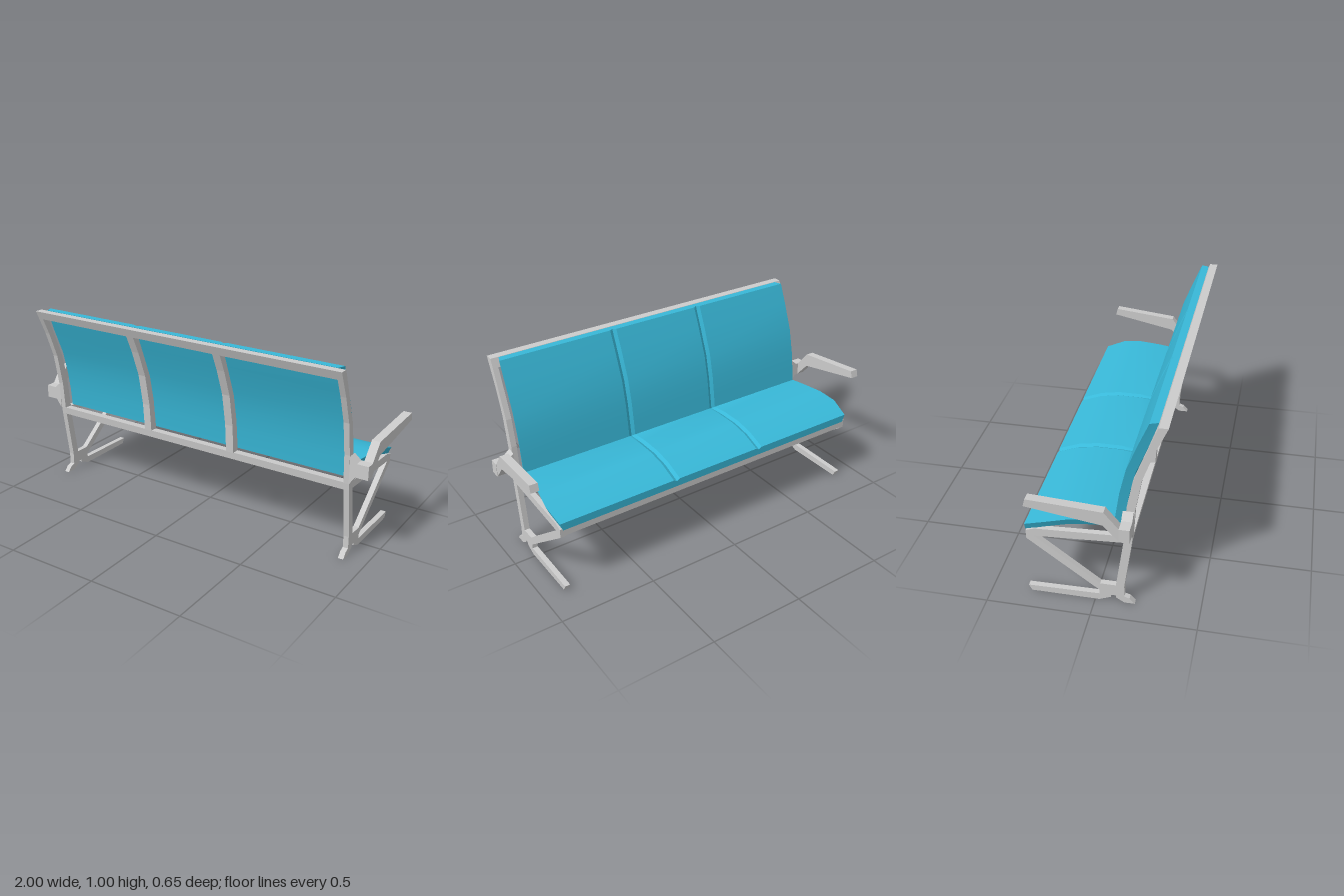
import * as THREE from 'three';
import { toCreasedNormals } from 'three/addons/utils/BufferGeometryUtils.js';

const grey = new THREE.MeshStandardMaterial({ color: 0xcccccc, flatShading: true });
const blue = new THREE.MeshStandardMaterial({ color: 0x38b8d8 });

const shapeOf = (pts) => new THREE.Shape(pts.map(([a, b]) => new THREE.Vector2(a, b)));

// Extrudes a (z, y) side profile along x from x0 to x1
function sideExtrude(pts, x0, x1, hole) {
  const shape = shapeOf(pts);
  if (hole) shape.holes.push(shapeOf(hole));
  const geo = new THREE.ExtrudeGeometry(shape, { depth: x1 - x0, bevelEnabled: false });
  geo.rotateY(-Math.PI / 2);
  geo.translate(x1, 0, 0);
  return geo;
}

// Upholstered shell: rows run down the back and along the seat,
// each row is [front z, front y, rear z, rear y, half width]
function shellGeometry() {
  const rows = [
    [0.245, 0.995, 0.284, 0.995, 0.865],
    [0.2, 0.89, 0.242, 0.875, 0.865],
    [0.145, 0.75, 0.186, 0.735, 0.865],
    [0.115, 0.62, 0.157, 0.61, 0.865],
    [0.1, 0.52, 0.142, 0.51, 0.865],
    [0.09, 0.447, 0.134, 0.412, 0.865],
    [0, 0.457, 0, 0.42, 0.87],
    [-0.12, 0.457, -0.12, 0.42, 0.89],
    [-0.22, 0.44, -0.22, 0.403, 0.905],
    [-0.325, 0.4, -0.325, 0.36, 0.89],
  ];
  // shallow V grooves separate the three places
  const seams = [-0.28, 0.24];
  const inner = seams.flatMap((s) => [s - 0.018, s, s + 0.018]);
  const n = inner.length + 2;
  const pos = [];
  const index = [];
  for (const [fz, fy, rz, ry, w] of rows) {
    const len = Math.hypot(rz - fz, ry - fy);
    [-w, ...inner, w].forEach((x) => {
      const t = seams.includes(x) ? 0.01 / len : 0;
      pos.push(x, fy + (ry - fy) * t, fz + (rz - fz) * t);
    });
    [w - 0.015, ...[...inner].reverse(), 0.015 - w].forEach((x) => pos.push(x, ry, rz));
  }
  const ring = 2 * n;
  const quad = (a, b, c, d) => index.push(a, b, c, a, c, d);
  for (let r = 0; r < rows.length - 1; r++) {
    for (let k = 0; k < ring; k++) {
      const a = r * ring + k;
      const b = r * ring + ((k + 1) % ring);
      quad(a, b, b + ring, a + ring);
    }
  }
  // top and front edges
  const last = (rows.length - 1) * ring;
  for (let c = 0; c < n - 1; c++) {
    const d = ring - 1 - c;
    quad(c, d, d - 1, c + 1);
    quad(last + c, last + c + 1, last + d - 1, last + d);
  }
  const geo = new THREE.BufferGeometry();
  geo.setAttribute('position', new THREE.Float32BufferAttribute(pos, 3));
  geo.setIndex(index);
  return toCreasedNormals(geo, 0.42);
}

export function createModel() {
  const group = new THREE.Group();
  const add = (name, geo, mat = grey) => {
    const mesh = new THREE.Mesh(geo, mat);
    mesh.name = name;
    group.add(mesh);
    return mesh;
  };

  add('seatShell', shellGeometry(), blue);

  // Curved back posts
  const post = [
    [0.18, 0.4], [0.19, 0.55], [0.22, 0.72], [0.27, 0.86], [0.33, 0.995],
    [0.288, 0.995], [0.23, 0.845], [0.18, 0.71], [0.153, 0.57], [0.137, 0.4],
  ];
  [[-0.89, -0.862], [-0.3, -0.257], [0.213, 0.256], [0.862, 0.89]].forEach(([a, b]) =>
    add('backPost', sideExtrude(post, a, b)));

  // Cross rails
  add('topRail', sideExtrude(
    [[0.33, 0.995], [0.31, 0.95], [0.27, 0.95], [0.288, 0.995]], -0.89, 0.89));
  add('rearRail', sideExtrude(
    [[0.18, 0.403], [0.175, 0.363], [0.135, 0.363], [0.137, 0.4]], -0.89, 0.89));
  add('frontRail', sideExtrude(
    [[-0.28, 0.378], [-0.28, 0.338], [-0.3, 0.324], [-0.32, 0.324], [-0.32, 0.362]], -0.862, 0.862));

  // Side frames: leg, seat rail, diagonal strut and foot in one plate
  const frame = [
    [0.18, 0.403], [-0.28, 0.38], [-0.32, 0.365], [-0.32, 0.32], [0.02, 0.06], [0.02, 0.036],
    [-0.325, 0.03], [-0.31, 0], [0.02, 0], [0.075, 0.024], [0.075, 0.037], [0.1, 0.037],
    [0.1, 0.024], [0.14, 0], [0.19, 0], [0.165, 0.028], [0.14, 0.037], [0.14, 0.1], [0.176, 0.365],
  ];
  const opening = [[0.137, 0.363], [-0.282, 0.338], [0.025, 0.1], [0.1, 0.1]];

  // Armrest profile and its bracket (front outline, x and y)
  const arm = [
    [0.136, 0.515], [0.07, 0.598], [-0.275, 0.63], [-0.285, 0.592], [0.065, 0.527], [0.136, 0.445],
  ];
  const bracket = [
    [0.89, 0.4], [0.92, 0.445], [0.985, 0.445], [0.985, 0.515], [0.925, 0.515], [0.89, 0.545],
  ];
  for (const s of [1, -1]) {
    const span = (a, b) => (s > 0 ? [a, b] : [-b, -a]);
    add('sideFrame', sideExtrude(frame, ...span(0.862, 0.89), opening));

    // armrests splay slightly outwards towards the front
    const armGeo = sideExtrude(arm, ...span(0.94, 0.983));
    const p = armGeo.attributes.position;
    for (let i = 0; i < p.count; i++) p.setX(i, p.getX(i) + s * (0.136 - p.getZ(i)) * 0.04);
    armGeo.computeVertexNormals();
    add('armrest', armGeo);

    const outline = bracket.map(([x, y]) => [s * x, y]);
    const bracketGeo = new THREE.ExtrudeGeometry(shapeOf(outline), { depth: 0.05, bevelEnabled: false });
    bracketGeo.translate(0, 0, 0.135);
    add('armBracket', bracketGeo);
  }
  return group;
}
